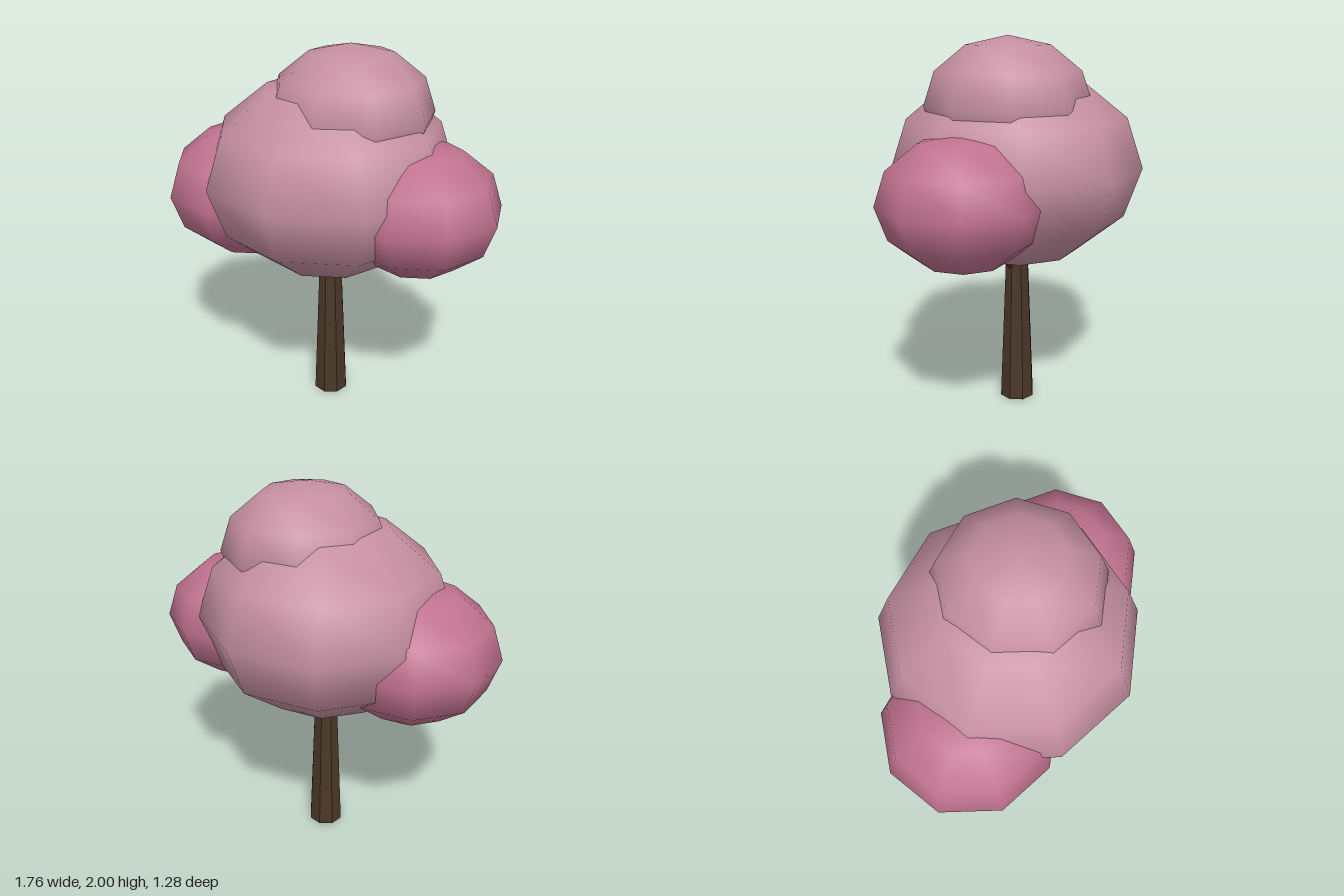
import * as THREE from 'three';

const bark = new THREE.MeshStandardMaterial({ color: 0x4a3728, flatShading: true });
const palePink = new THREE.MeshStandardMaterial({ color: 0xc58fa1 });
const deepPink = new THREE.MeshStandardMaterial({ color: 0xc0728f });

// Squashed nine-sided ball of blossom with one meridian facing the back
function blossom(name, material, position, radius, halfHeight) {
  const geometry = new THREE.SphereGeometry(1, 9, 6, -Math.PI / 2);
  const mesh = new THREE.Mesh(geometry, material);
  mesh.name = name;
  mesh.scale.set(radius, halfHeight, radius);
  mesh.position.set(...position);
  return mesh;
}

// Tapered limb between two points
function limb(name, from, to, baseRadius, tipRadius, sides) {
  const a = new THREE.Vector3(...from);
  const b = new THREE.Vector3(...to);
  const axis = b.clone().sub(a);
  const geometry = new THREE.CylinderGeometry(
    tipRadius, baseRadius, axis.length(), sides, 1, false, Math.PI / sides);
  const mesh = new THREE.Mesh(geometry, bark);
  mesh.name = name;
  mesh.position.copy(a).lerp(b, 0.5);
  mesh.quaternion.setFromUnitVectors(new THREE.Vector3(0, 1, 0), axis.normalize());
  return mesh;
}

export function createModel() {
  const tree = new THREE.Group();
  tree.name = 'blossomTree';

  // Trunk and the two forked branches that run up into the crown
  tree.add(limb('trunk', [-0.015, 0, 0.017], [-0.015, 1.1, 0.017], 0.097, 0.052, 8));
  for (const [name, side] of [['leftBranch', 1], ['rightBranch', -1]]) {
    tree.add(limb(name, [-0.015 + side * 0.01, 0.76, 0.012],
      [-0.015 + side * 0.3, 1.03, 0.012], 0.03, 0.022, 6));
  }

  // Crown
  tree.add(
    blossom('mainCrown', palePink, [-0.015, 1.33, 0.02], 0.66, 0.52),
    blossom('topCrown', palePink, [0.085, 1.66, -0.027], 0.427, 0.34),
    blossom('rightCrown', deepPink, [-0.445, 1.19, 0.207], 0.445, 0.36),
    blossom('leftCrown', deepPink, [0.46, 1.23, -0.127], 0.423, 0.335),
  );
  return tree;
}
